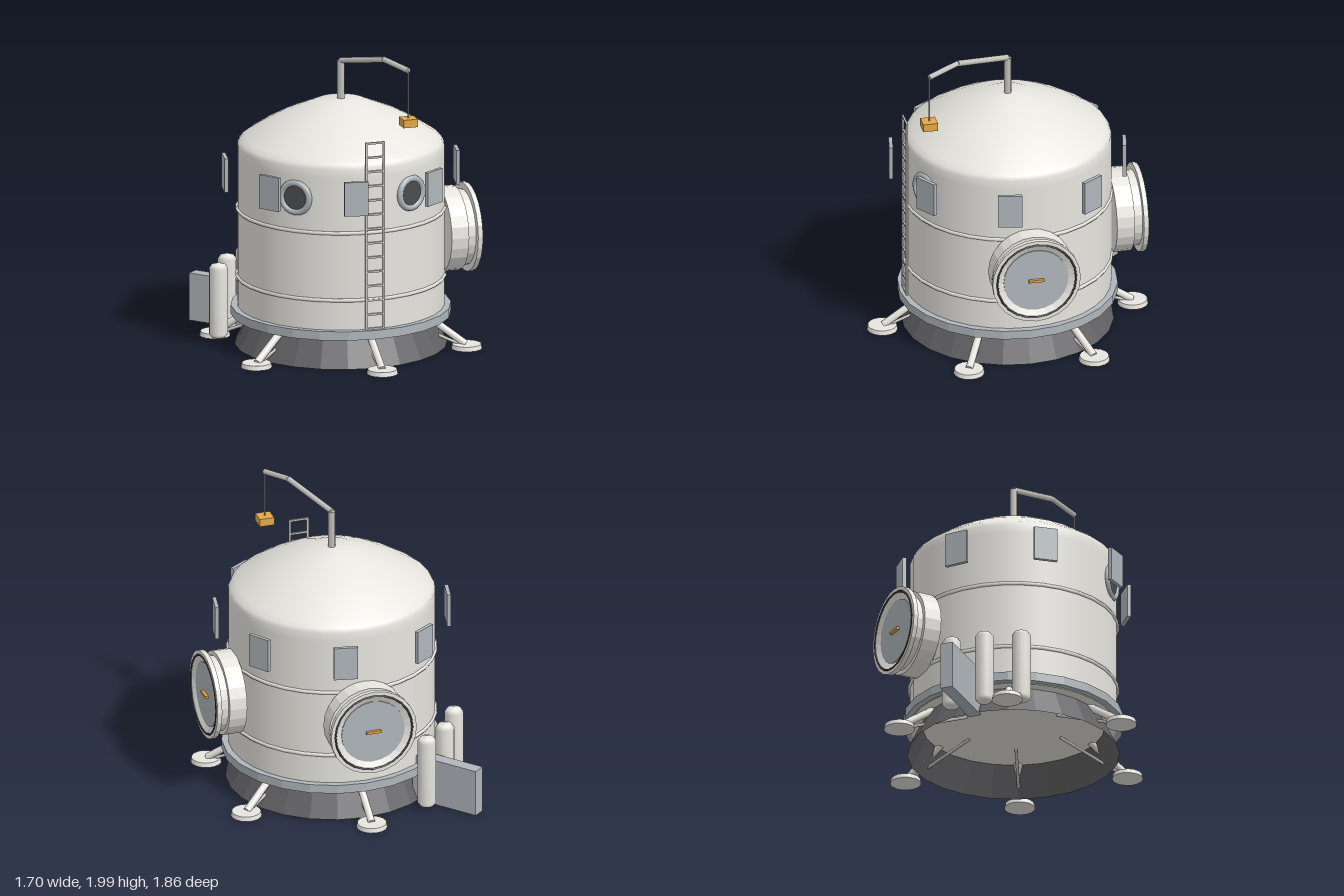
import * as THREE from 'three';

const mat = (name, color, double = false) => {
  const m = new THREE.MeshStandardMaterial({ color });
  m.name = name;
  if (double) m.side = THREE.DoubleSide;
  return m;
};

// Splits vertices so every facet is shaded flat
const flat = (geo) => {
  const g = geo.toNonIndexed();
  g.computeVertexNormals();
  return g;
};
const V = (x, y, z) => new THREE.Vector3(x, y, z);

export function createModel() {
  const hull = mat('hullWhite', 0xe7e5df);
  const steel = mat('blueGreySteel', 0xb0b6bb);
  const dark = mat('darkSkirt', 0x626164, true);
  const metal = mat('brushedMetal', 0xc4c2bd);
  const gold = mat('gold', 0xe4a846);
  const glass = mat('darkGlass', 0x4c4d4f);
  const seal = mat('blackSeal', 0x38383a);

  const model = new THREE.Group();
  const station = new THREE.Group();
  station.name = 'habitat';
  station.position.set(-0.03, 0, 0.002);
  model.add(station);

  const add = (parent, name, geo, material, x = 0, y = 0, z = 0) => {
    const m = new THREE.Mesh(geo, material);
    m.name = name;
    m.position.set(x, y, z);
    parent.add(m);
    return m;
  };
  // Group turned to face outward at an azimuth measured from +z towards +x
  const facing = (name, degrees) => {
    const g = new THREE.Group();
    g.name = name;
    g.rotation.y = THREE.MathUtils.degToRad(degrees);
    station.add(g);
    return g;
  };
  // Round bar between two points
  const bar = (parent, name, a, b, r, material, sides = 8) => {
    const d = b.clone().sub(a);
    const m = add(parent, name, new THREE.CylinderGeometry(r, r, d.length(), sides), material);
    m.position.copy(a).addScaledVector(d, 0.5);
    m.quaternion.setFromUnitVectors(V(0, 1, 0), d.normalize());
  };
  const lathe = (pts, sides) =>
    new THREE.LatheGeometry(pts.map(([r, y]) => new THREE.Vector2(r, y)), sides);

  // Main hull running smoothly into the dome, floor and seams
  add(station, 'hullAndDome', lathe([
    [0.672, 0.2], [0.672, 1.28], [0.672, 1.34], [0.657, 1.367], [0.622, 1.394],
    [0.51, 1.467], [0.385, 1.534], [0.16, 1.63], [0, 1.645],
  ], 32), hull);
  const floor = new THREE.CircleGeometry(0.67, 32).rotateX(Math.PI / 2);
  add(station, 'hullFloor', floor, hull, 0, 0.203, 0);
  for (const y of [0.465, 0.915]) {
    const ring = new THREE.TorusGeometry(0.673, 0.013, 6, 32).rotateX(Math.PI / 2);
    add(station, 'hullSeam', ring, hull, 0, y, 0);
  }

  // Base ring and flared skirt
  add(station, 'baseRing', flat(lathe([[0.66, 0.206], [0.715, 0.206], [0.715, 0.265], [0.66, 0.265]], 24)), steel);
  add(station, 'skirt', flat(new THREE.CylinderGeometry(0.59, 0.69, 0.2, 24, 1, true)), dark, 0, 0.105, 0);

  // Six landing legs
  for (let i = 0; i < 6; i++) {
    const leg = facing('landingLeg', i * 60);
    add(leg, 'footPad', new THREE.CylinderGeometry(0.095, 0.101, 0.03, 16), hull, 0, 0.022, 0.831);
    bar(leg, 'strut', V(0, 0.035, 0.825), V(0, 0.215, 0.56), 0.025, hull);
    bar(leg, 'brace', V(0, 0.03, 0.79), V(0, 0.2, 0.34), 0.011, metal, 6);
  }

  // Two docking hatches, on the left side and at the back
  for (const degrees of [90, 180]) {
    const hatch = facing('dockingHatch', degrees);
    const tunnel = flat(lathe([
      [0, 0.667], [0.277, 0.667], [0.277, 0.785], [0.248, 0.785], [0.248, 0.842],
      [0.292, 0.842], [0.292, 0.874], [0.258, 0.874], [0.205, 0.846],
    ], 24)).rotateX(Math.PI / 2);
    add(hatch, 'tunnel', tunnel, hull, 0, 0.705, 0);
    add(hatch, 'gasket', new THREE.TorusGeometry(0.262, 0.007, 6, 24), seal, 0, 0.705, 0.873);
    const door = new THREE.CylinderGeometry(0.215, 0.215, 0.02, 24).rotateX(Math.PI / 2);
    add(hatch, 'door', door, steel, 0, 0.705, 0.847);
    add(hatch, 'handle', new THREE.BoxGeometry(0.1, 0.017, 0.022), gold, 0, 0.705, 0.866);
  }

  // Portholes
  for (const degrees of [24, -45]) {
    const porthole = facing('porthole', degrees);
    add(porthole, 'rim', new THREE.TorusGeometry(0.098, 0.022, 8, 20), steel, 0, 1.137, 0.667);
    const pane = new THREE.CylinderGeometry(0.085, 0.085, 0.03, 20).rotateX(Math.PI / 2);
    add(porthole, 'pane', pane, glass, 0, 1.137, 0.66);
  }

  // Eight stand-off panels around the upper hull
  for (let i = 0; i < 8; i++) {
    const panel = facing('shieldPanel', i * 45 - 11.25);
    add(panel, 'panel', new THREE.BoxGeometry(0.157, 0.227, 0.025), steel, 0, 1.168, 0.757);
  }

  // Ladder on the front
  const ladder = facing('ladder', 0);
  for (const s of [-1, 1]) {
    add(ladder, 'ladderRail', new THREE.BoxGeometry(0.014, 1.255, 0.013), metal, s * 0.06, 0.893, 0.681);
  }
  for (let i = 0; i < 14; i++) {
    add(ladder, 'rung', new THREE.BoxGeometry(0.12, 0.013, 0.012), metal, 0, 0.27 + i * 0.0957, 0.681);
  }

  // Crane with hanging crate
  const tip = V(0.265, 1.95, 0.579);
  const elbow = V(0.17, 1.98, 0.37);
  const mastTop = V(0, 1.895, 0);
  bar(station, 'craneMast', V(0, 1.6, 0), mastTop, 0.025, metal);
  bar(station, 'craneArm', mastTop, elbow, 0.02, metal);
  bar(station, 'craneJib', elbow, tip, 0.019, metal);
  bar(station, 'cable', tip, V(0.265, 1.62, 0.579), 0.005, metal, 6);
  add(station, 'crate', new THREE.BoxGeometry(0.098, 0.053, 0.098), gold, 0.265, 1.607, 0.579);

  // Three upright tanks at the back right
  for (const degrees of [-147.4, -130.9, -113.5]) {
    const tank = facing('tank', degrees);
    add(tank, 'tankShell', lathe([
      [0, 0.012], [0.045, 0.022], [0.062, 0.045], [0.062, 0.482], [0.045, 0.507], [0, 0.52],
    ], 14), hull, 0, 0, 0.795);
  }

  // Upright slab beside the tanks
  const fin = facing('sideFin', -139.9);
  add(fin, 'finSlab', new THREE.BoxGeometry(0.085, 0.317, 0.48), steel, 0, 0.162, 0.882);

  return model;
}
